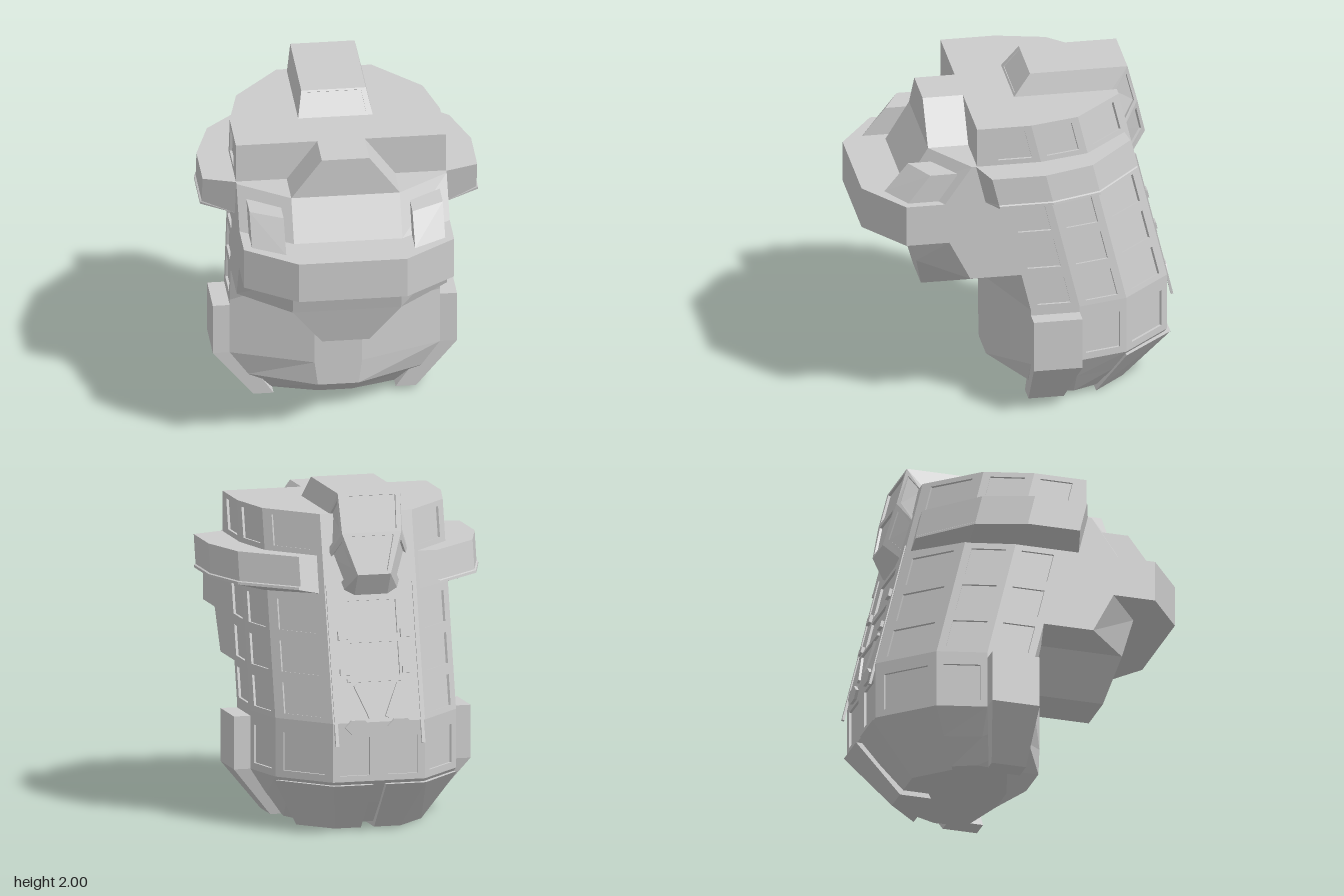
import * as THREE from 'three';

const material = new THREE.MeshStandardMaterial({ color: 0xcccccc, flatShading: true, side: THREE.DoubleSide });

// Collects outward-facing quads and fans into one faceted mesh
function surface() {
  const v = [];
  const tri = (a, b, c) => v.push(...a, ...b, ...c);
  const s = {
    quad(a, b, c, d) { tri(a, b, c); tri(a, c, d); return s; },
    fan(r) { for (let i = 1; i < r.length - 1; i++) tri(r[0], r[i], r[i + 1]); return s; },
    // rings run counter-clockwise seen from above, listed bottom to top
    loft(rings, { closed = true, bottom = true, top = true } = {}) {
      for (let i = 0; i + 1 < rings.length; i++) {
        const a = rings[i], b = rings[i + 1], n = a.length;
        for (let j = 0; j < (closed ? n : n - 1); j++) {
          const k = (j + 1) % n;
          s.quad(a[j], a[k], b[k], b[j]);
        }
      }
      if (bottom) s.fan([...rings[0]].reverse());
      if (top) s.fan(rings[rings.length - 1]);
      return s;
    },
    // wall quad with one recessed window
    pane(bl, br, tr, tl, u0 = 0.16, u1 = 0.84, v0 = 0.13, v1 = 0.87, depth = 0.015) {
      const P = [bl, br, tr, tl].map(p => new THREE.Vector3(...p));
      const n = P[2].clone().sub(P[0]).cross(P[3].clone().sub(P[1])).normalize();
      const at = (u, w) => P[0].clone().lerp(P[1], u).lerp(P[3].clone().lerp(P[2], u), w);
      const hole = [at(u0, v0), at(u1, v0), at(u1, v1), at(u0, v1)];
      const back = hole.map(p => p.clone().addScaledVector(n, -depth).toArray());
      const rim = hole.map(p => p.toArray()), edge = [bl, br, tr, tl];
      for (let i = 0; i < 4; i++) {
        const k = (i + 1) % 4;
        s.quad(edge[i], edge[k], rim[k], rim[i]);
        s.quad(rim[i], rim[k], back[k], back[i]);
      }
      return s.quad(...back);
    },
    // add the reflection across x = 0
    mirror() {
      const n = v.length;
      for (let i = 0; i < n; i += 9) for (const o of [0, 6, 3]) v.push(-v[i + o], v[i + o + 1], v[i + o + 2]);
      return s;
    },
    mesh(name) {
      const g = new THREE.BufferGeometry();
      g.setAttribute('position', new THREE.Float32BufferAttribute(v, 3));
      g.computeVertexNormals();
      const m = new THREE.Mesh(g, material);
      m.name = name;
      return m;
    },
  };
  return s;
}

// Upper walls lean forward above y = 0.67
const lean = y => 0.24 * Math.max(0, y - 0.67);
const columns = y => [[0.62, -0.03], [0.62, -0.32], [0.55, -0.61], [0.28, -0.9]].map(([x, z]) => [x, y, z + lean(y)]);
const flip = ([x, y, z]) => [-x, y, z];
const both = half => [...[...half].reverse().map(flip), ...half];
const level = (y, pts) => pts.map(([x, z]) => [x, y, z]);

export function createModel() {
  const model = new THREE.Group();
  model.name = 'building';
  const add = (s, name) => model.add(s.mesh(name));

  // Stepped front: [y, centre z, side z], with the projecting visor
  const steps = [[0.905, 0.6, 0.33], [1.15, 0.67, 0.455], [1.15, 0.925, 0.71], [1.4, 0.925, 0.71],
    [1.4, 0.67, 0.48], [1.63, 0.53, 0.32], [1.63, 0.29, 0.29], [1.87, 0.29, 0.29]];
  const front = steps.map(([y, c, s]) => both([[0.32, y, c], [0.62, y, s], columns(y)[0]]));
  add(surface().loft(front, { closed: false, top: false }), 'steppedFront');
  add(surface().fan(both([[0.32, 1.87, 0.29], [0.62, 1.87, 0.29], ...columns(1.87)])), 'roof');

  // Lower front wall
  const lower = [0.32, 0.67, 0.905].map(y => both([[0.14, y, 0.15], columns(y)[0]]));
  add(surface().loft(lower, { closed: false, bottom: false, top: false }), 'lowerFront');

  // Tapered base
  const taper = [
    level(0.03, [[0.1, -0.04], [0.4, -0.13], [0.42, -0.32], [0.36, -0.46], [0.2, -0.63]]),
    level(0.17, [[0.12, 0.15], [0.51, -0.03], [0.52, -0.32], [0.46, -0.54], [0.24, -0.77]]),
    [[0.14, 0.32, 0.15], ...columns(0.32)],
  ].map(both);
  add(surface().loft(taper, { top: false }), 'base');

  // Windowed side walls
  const rows = [0.32, 0.67, 0.91, 1.15, 1.39, 1.63, 1.87];
  const walls = surface();
  for (let r = 0; r < 6; r++) {
    const a = columns(rows[r]), b = columns(rows[r + 1]);
    for (let c = 0; c < 3; c++) {
      const q = [a[c], a[c + 1], b[c + 1], b[c]];
      if (r === 4 || (r === 0 && c === 0)) walls.quad(...q);
      else if (r === 0) walls.pane(...q, 0.14, 0.86, 0.12, 0.77);
      else walls.pane(...q);
    }
  }
  add(walls.mirror(), 'windowWalls');

  // Back wall with central and paired windows
  const rear = surface();
  for (let r = 0; r < 6; r++) {
    const a = columns(rows[r])[3], b = columns(rows[r + 1])[3];
    if (r === 2 || r === 3) rear.pane(a, flip(a), flip(b), b, 0.24, 0.76, 0.1, 0.9);
    else if (r === 0) {
      const ma = [0, a[1], a[2]], mb = [0, b[1], b[2]];
      rear.pane(a, ma, mb, b, 0.15, 0.8, 0.1, 0.75).pane(ma, flip(a), flip(b), mb, 0.2, 0.85, 0.1, 0.75);
    } else rear.quad(a, flip(a), flip(b), b);
  }
  add(rear, 'backWall');

  // Chin wedge under the front
  const chin = [
    level(0.67, [[-0.14, -0.03], [-0.14, 0.54], [0.14, 0.54], [0.14, -0.03]]),
    level(0.905, [[-0.32, 0.03], [-0.32, 0.6], [0.32, 0.6], [0.32, 0.03]]),
  ];
  add(surface().loft(chin), 'chin');

  // Sloped block joining the roof to the front step
  const block = [[1.63, 0.32], [1.87, 0.14]].map(([y, x]) => level(y, [[-x, 0.2], [-x, 0.53], [x, 0.53], [x, 0.2]]));
  add(surface().loft(block), 'frontBlock');

  // Wedges sitting on the visor
  const wedge = [
    level(1.4, [[0.38, 0.52], [0.38, 0.8], [0.57, 0.69], [0.57, 0.4]]),
    level(1.57, [[0.38, 0.52], [0.38, 0.66], [0.57, 0.56], [0.57, 0.4]]),
  ];
  add(surface().loft(wedge).mirror(), 'visorWedges');

  // Brim wrapping the sides: outer x, z then inner x, z at each station
  const brim = surface();
  const stations = [[0.81, 0.19, 0.6, 0.26], [0.81, -0.13, 0.6, -0.13], [0.715, -0.425, 0.53, -0.4], [0.42, -0.7, 0.2, -0.67]]
    .map(([ox, oz, ix, iz]) => {
      const p = (x, y, z) => [x, y, z + 0.24 * (y - 1.45)];
      return [p(ix, 1.39, iz), p(ox + 0.01, 1.44, oz), p(ox + 0.01, 1.455, oz), p(ox, 1.46, oz), p(ox, 1.63, oz), p(ix, 1.63, iz)];
    });
  for (let i = 0; i < 3; i++) for (let j = 0; j < 5; j++) {
    const a = stations[i], b = stations[i + 1];
    brim.quad(a[j], b[j], b[j + 1], a[j + 1]);
  }
  brim.fan(stations[0]).fan([...stations[3]].reverse());
  add(brim.mirror(), 'brim');

  // Side buttresses
  const buttress = [[0.03, 0.36, 0.48, -0.04, -0.25], [0.32, 0.56, 0.72, -0.03, -0.32], [0.635, 0.56, 0.72, -0.03, -0.32]]
    .map(([y, i, o, f, b]) => level(y, [[i, f], [o, f], [o, b], [i, b]]));
  add(surface().loft(buttress).mirror(), 'buttresses');

  // Rear foot plates over the taper
  const foot = [
    level(0, [[0.04, -0.46], [0.38, -0.46], [0.2, -0.65], [0.04, -0.65]]),
    level(0.3, [[0.04, -0.61], [0.56, -0.61], [0.28, -0.92], [0.04, -0.92]]),
  ];
  add(surface().loft(foot).mirror(), 'rearFeet');

  // Roof cabin hanging over the back
  const A = [0.22, 1.87, 0], B = [0.19, 2, -0.1], C = [0.19, 2, -0.68], D = [0.18, 1.77, -0.74], E = [0.1, 1.53, -0.8],
    F = [0.1, 1.39, -0.72], G = [0.22, 1.87, -0.58], H = [0.25, 1.62, -0.645], J = [0.18, 1.4, -0.69];
  const sides = surface().quad(A, G, C, B).pane(G, H, D, C, 0.12, 0.88, 0.14, 0.86).pane(H, J, E, D, 0.12, 0.8, 0.14, 0.86).quad(J, F, E, E).mirror();
  add(sides, 'cabinSides');
  const spine = surface().pane(flip(A), A, B, flip(B), 0.08, 0.92, 0.08, 0.93, 0.006)
    .quad(flip(B), B, C, flip(C))
    .pane(D, flip(D), flip(C), C, 0.08, 0.92, 0.08, 0.92)
    .pane(E, flip(E), flip(D), D, 0.12, 0.88, 0.08, 0.92)
    .quad(F, flip(F), flip(E), E);
  add(spine, 'cabinSpine');

  // Small fittings on the back wall
  const fittings = new THREE.Group();
  fittings.name = 'backFittings';
  const fit = (geometry, x, y, turn, name) => {
    const holder = new THREE.Group();
    holder.position.set(x, y, -0.9 + lean(y));
    holder.rotation.x = y > 0.67 ? Math.atan(0.24) : 0;
    const m = new THREE.Mesh(geometry, material);
    m.rotation.z = turn;
    m.name = name;
    holder.add(m);
    fittings.add(holder);
  };
  const bar = (w, h, d = 0.03) => new THREE.BoxGeometry(w, h, d);
  for (const s of [-1, 1]) {
    fit(bar(0.025, 0.21), s * 0.09, 0.79, -s * 0.4, 'brace');
    fit(bar(0.06, 0.05, 0.04), s * 0.19, 1.17, 0, 'clip');
    fit(bar(0.06, 0.04, 0.04), s * 0.19, 0.96, 0, 'clip');
    fit(bar(0.02, 0.95, 0.015), s * 0.262, 1.0, 0, 'cornerRail');
    const cap = new THREE.CylinderGeometry(0.08, 0.08, 0.035, 6).rotateX(Math.PI / 2).rotateZ(Math.PI / 2).scale(1, 0.6, 1);
    fit(cap, s * 0.13, 0.645, 0, 'windowCap');
  }
  fit(bar(0.36, 0.02), 0, 0.91, 0, 'crossBar');
  model.add(fittings);

  return model;
}
